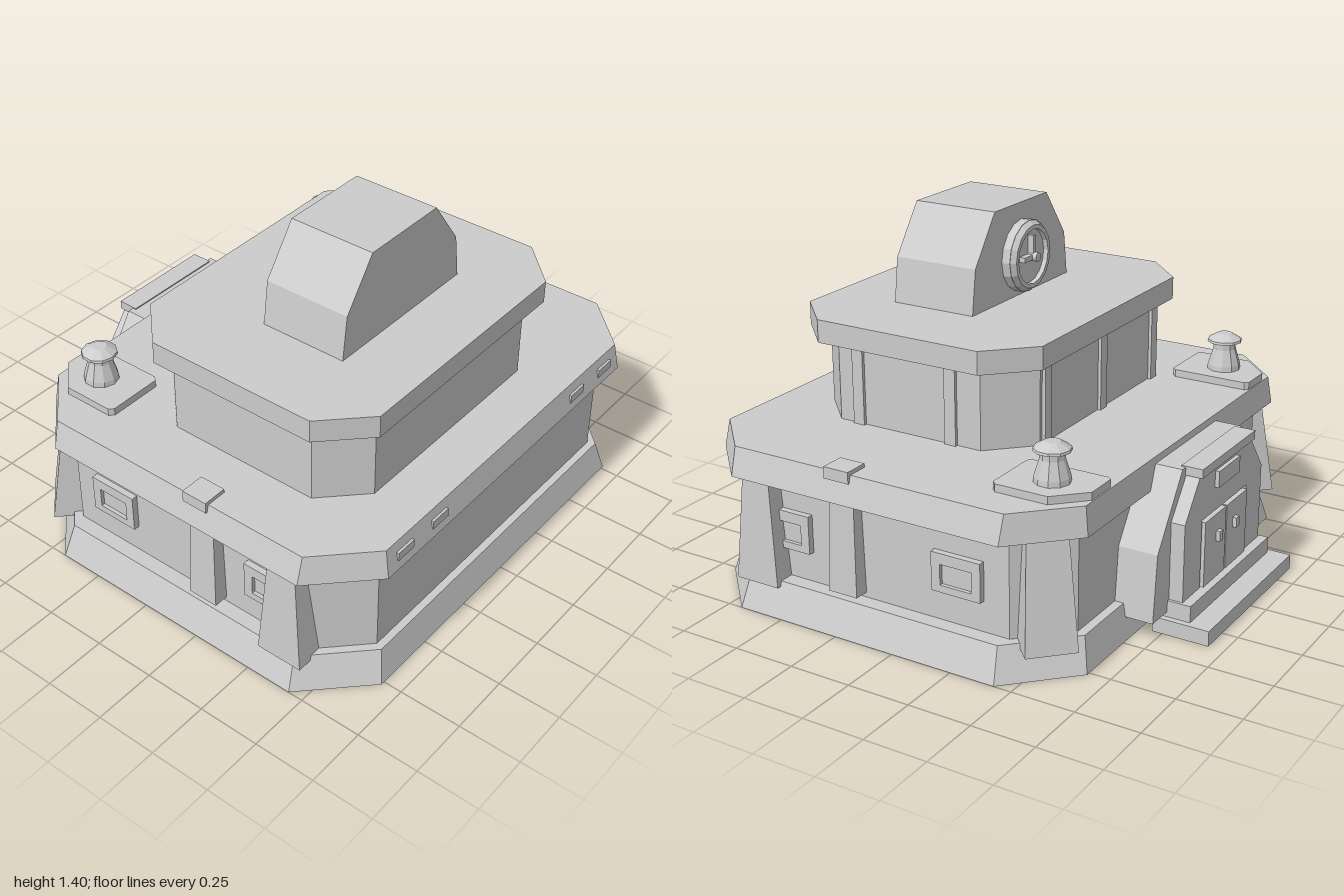
import * as THREE from 'three';

const stone = new THREE.MeshStandardMaterial({ color: 0xcccccc, side: THREE.DoubleSide, flatShading: true });
stone.name = 'pale grey';

// Chamfered rectangle, counter-clockwise seen from above
const octagon = (x0, x1, z0, z1, c) => [
  [x1, z1 - c], [x1, z0 + c], [x1 - c, z0], [x0 + c, z0],
  [x0, z0 + c], [x0, z1 - c], [x0 + c, z1], [x1 - c, z1]];
const rect = (x0, x1, z0, z1) => [[x1, z1], [x1, z0], [x0, z0], [x0, z1]];

// Solid between two rings at different heights
function loft(lower, y0, upper, y1, bottomCap = true) {
  const pos = [], n = lower.length;
  const a = i => [lower[i % n][0], y0, lower[i % n][1]];
  const b = i => [upper[i % n][0], y1, upper[i % n][1]];
  for (let i = 0; i < n; i++) {
    pos.push(...a(i), ...a(i + 1), ...b(i + 1), ...a(i), ...b(i + 1), ...b(i));
    if (i > 0 && i < n - 1) {
      pos.push(...b(0), ...b(i), ...b(i + 1));
      if (bottomCap) pos.push(...a(0), ...a(i + 1), ...a(i));
    }
  }
  const g = new THREE.BufferGeometry();
  g.setAttribute('position', new THREE.Float32BufferAttribute(pos, 3));
  g.computeVertexNormals();
  return g;
}

// Front-view outline pushed from z0 to z1
function extrude(points, z0, z1, hole) {
  const s = new THREE.Shape(points.map(p => new THREE.Vector2(...p)));
  if (hole) s.holes.push(new THREE.Path(hole.map(p => new THREE.Vector2(...p))));
  return new THREE.ExtrudeGeometry(s, { depth: z1 - z0, bevelEnabled: false }).translate(0, 0, z0);
}

export function createModel() {
  const model = new THREE.Group();
  model.name = 'building';
  const add = (name, geometry, parent = model) => {
    const m = new THREE.Mesh(geometry, stone);
    m.name = name;
    parent.add(m);
    return m;
  };
  const box = (name, x0, x1, y0, y1, z0, z1, parent) => add(name,
    new THREE.BoxGeometry(x1 - x0, y1 - y0, z1 - z0)
      .translate((x0 + x1) / 2, (y0 + y1) / 2, (z0 + z1) / 2), parent);

  // Lower storey: open-bottomed skirt, walls and sloped cornice
  add('skirt', loft(octagon(-1, 1, -0.665, 0.925, 0.235), 0,
    octagon(-0.95, 0.95, -0.635, 0.895, 0.22), 0.13, false));
  const wall = octagon(-0.89, 0.89, -0.6, 0.865, 0.173);
  add('lowerWalls', loft(wall, 0.13, wall, 0.52));
  add('cornice', loft(octagon(-0.98, 0.98, -0.66, 0.935, 0.22), 0.52,
    octagon(-0.95, 0.95, -0.645, 0.915, 0.2), 0.63));

  // Upper storey with its overhanging roof slab
  const drum = octagon(-0.7, 0.525, -0.235, 0.71, 0.157);
  add('upperWalls', loft(drum, 0.63, drum, 0.945));
  const slab = octagon(-0.765, 0.59, -0.278, 0.765, 0.168);
  add('upperRoof', loft(slab, 0.945, slab, 1.035));
  for (const z of [0.46, 0.047])
    box('upperPilaster', 0.515, 0.538, 0.63, 0.945, z - 0.024, z + 0.024);
  for (const x of [0.33, -0.085, -0.5])
    box('upperPilaster', x - 0.024, x + 0.024, 0.63, 0.945, -0.248, -0.225);

  // Clock tower
  add('clockTower', extrude([[-0.435, 1.035], [0.26, 1.035], [0.237, 1.21],
    [0.1, 1.4], [-0.275, 1.4], [-0.413, 1.21]], 0.125, 0.48));
  const clock = new THREE.Group();
  clock.name = 'clock';
  clock.position.set(-0.088, 1.192, 0.125);
  clock.rotation.y = Math.PI; // local +z looks to the back
  model.add(clock);
  const disc = (name, r, z0, z1) => add(name,
    new THREE.CylinderGeometry(r, r, z1 - z0, 16).rotateX(Math.PI / 2).translate(0, 0, (z0 + z1) / 2), clock);
  disc('clockBack', 0.142, -0.01, 0.035);
  add('clockRim', new THREE.LatheGeometry([[0.108, 0.03], [0.108, 0.055], [0.125, 0.055], [0.14, 0.035]]
    .map(p => new THREE.Vector2(...p)), 16).rotateX(Math.PI / 2), clock);
  box('minuteHand', -0.01, 0.01, 0, 0.085, 0.035, 0.06, clock);
  box('hourHand', -0.07, 0.01, -0.01, 0.01, 0.035, 0.06, clock);
  disc('clockHub', 0.018, 0.035, 0.077);

  // Tapered buttress, leaning out along its own +x
  const buttress = (x, z, angle, low, high, wLow, wHigh) => {
    const m = add('buttress', loft(rect(-0.06, low, -wLow, wLow), 0.11, rect(-0.06, high, -wHigh, wHigh), 0.525));
    m.position.set(x, 0, z);
    m.rotation.y = angle;
  };

  // Everything that repeats on both sides
  const ventProfile = [[0.068, 0.655], [0.066, 0.68], [0.046, 0.745], [0.046, 0.775],
    [0.07, 0.775], [0.068, 0.785], [0.03, 0.808], [0, 0.808]].map(p => new THREE.Vector2(...p));
  for (const s of [1, -1]) {
    const span = (name, xa, xb, ...rest) =>
      box(name, Math.min(s * xa, s * xb), Math.max(s * xa, s * xb), ...rest);

    buttress(s * 0.89, 0.625, s > 0 ? 0 : Math.PI, 0.085, 0.065, 0.095, 0.06);
    buttress(s * 0.803, -0.513, s > 0 ? Math.PI / 4 : Math.PI * 0.75, 0.115, 0.05, 0.095, 0.075);

    // Side pilaster and the block above it
    const pilaster = add('sidePilaster', loft(rect(-0.03, 0.06, -0.063, 0.063), 0.15,
      rect(-0.03, 0.045, -0.053, 0.053), 0.525));
    pilaster.position.set(s * 0.89, 0, 0.247);
    pilaster.rotation.y = s > 0 ? 0 : Math.PI;
    span('roofBlock', 0.866, 0.965, 0.6, 0.645, 0.19, 0.297);

    // Side windows: pane within a frame
    for (const z of [0.522, -0.222]) {
      const frame = add('windowFrame', extrude([[-0.102, 0.25], [0.102, 0.25], [0.102, 0.4], [-0.102, 0.4]],
        0, 0.03, [[-0.065, 0.278], [-0.065, 0.358], [0.065, 0.358], [0.065, 0.278]]));
      frame.position.set(s * 0.885, 0, z);
      frame.rotation.y = s * Math.PI / 2;
      span('windowPane', 0.885, 0.9, 0.275, 0.36, z - 0.068, z + 0.068);
    }

    // Vents on the cornice slope
    for (const x of [0.452, 0.655])
      span('corniceVent', x - 0.045, x + 0.045, 0.555, 0.59, 0.9, 0.932);

    // Roof vent on its chamfered pad
    const pad = [[0.81, -0.32], [0.81, -0.53], [0.7, -0.64], [0.57, -0.64], [0.557, -0.625],
      [0.557, -0.32], [0.572, -0.303], [0.793, -0.303]].map(([x, z]) => [s * x, z]);
    if (s < 0) pad.reverse();
    add('ventPad', loft(pad, 0.625, pad, 0.66));
    add('roofVent', new THREE.LatheGeometry(ventProfile, 10)).position.set(s * 0.685, 0, -0.475);

    // Door leaf and handle
    span('door', 0.004, 0.18, 0.125, 0.385, -0.822, -0.78);
    span('doorHandle', 0.058, 0.085, 0.275, 0.315, -0.838, -0.82);
  }

  // Entrance porch at the back
  add('porch', extrude([[-0.455, 0.08], [0.455, 0.08], [0.43, 0.34], [0.25, 0.605],
    [-0.25, 0.605], [-0.43, 0.34]], -0.757, -0.58));
  add('porchFacade', extrude([[-0.33, 0.12], [0.33, 0.12], [0.33, 0.43], [0.215, 0.58],
    [-0.215, 0.58], [-0.33, 0.43]], -0.812, -0.75,
  [[-0.19, 0.125], [-0.19, 0.395], [0.19, 0.395], [0.19, 0.125]]));
  box('porchCap', -0.225, 0.225, 0.575, 0.61, -0.825, -0.74);
  box('plaque', -0.09, 0.09, 0.49, 0.555, -0.828, -0.8);
  box('upperStep', -0.342, 0.342, 0.06, 0.125, -0.85, -0.7);
  box('lowerStep', -0.367, 0.367, 0, 0.06, -0.937, -0.71);

  return model;
}
